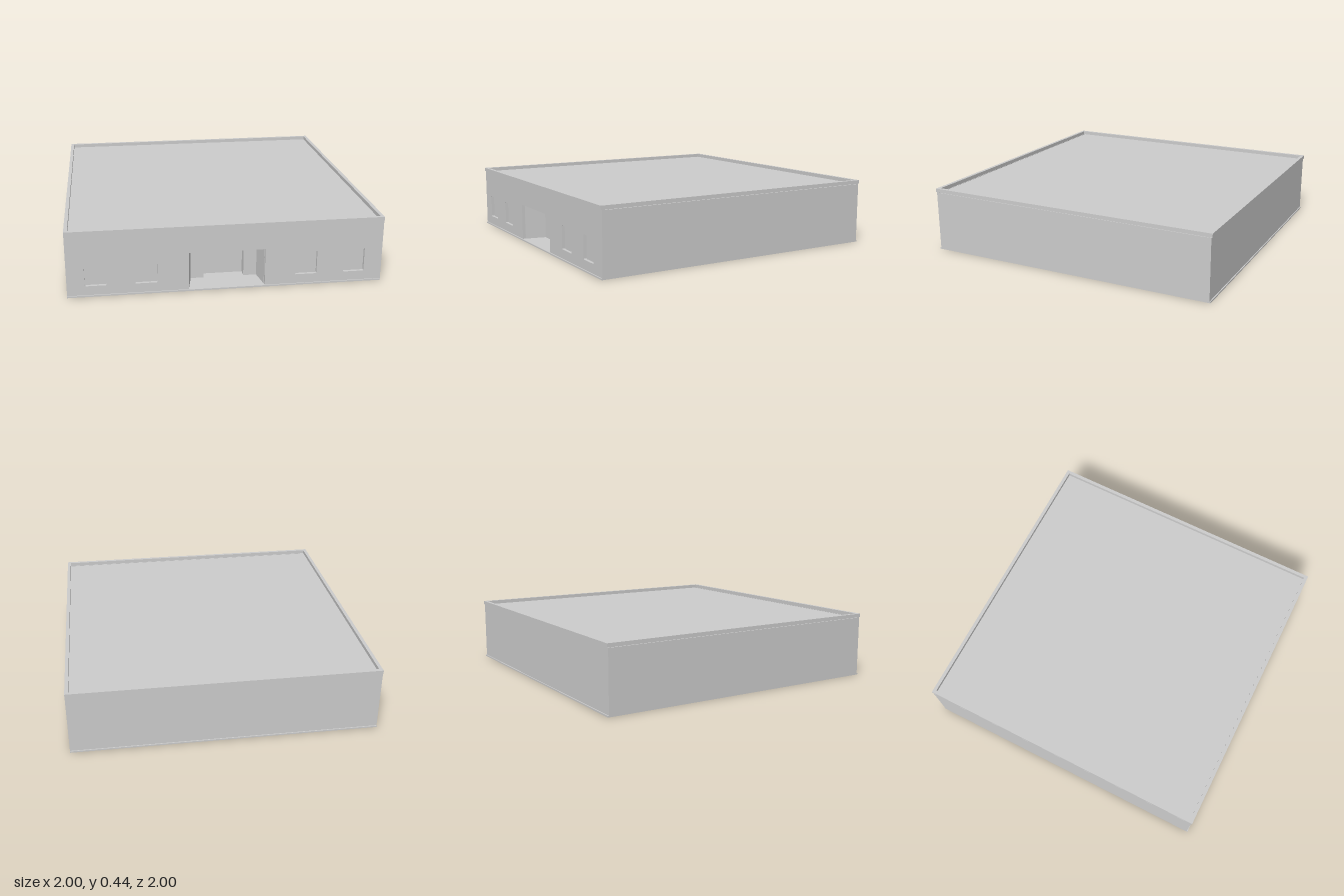
import * as THREE from 'three';

const material = new THREE.MeshStandardMaterial({ color: 0xcccccc, flatShading: true });

const BASE = 0.01, CEILING = 0.255, ROOF = 0.408, CORNICE = 0.41, TOP = 0.435;
const WALL_Z = 0.993, SKIN = 0.02;
const CORE_Z = WALL_Z - SKIN;

function add(group, name, geometry) {
  const mesh = new THREE.Mesh(geometry, material);
  mesh.name = name;
  group.add(mesh);
  return mesh;
}

// Box given by its lower and upper limits on each axis
function block(group, name, [x0, x1], [y0, y1], [z0, z1]) {
  const mesh = add(group, name, new THREE.BoxGeometry(x1 - x0, y1 - y0, z1 - z0));
  mesh.position.set((x0 + x1) / 2, (y0 + y1) / 2, (z0 + z1) / 2);
  return mesh;
}

function polygon(points, Type = THREE.Shape) {
  return new Type(points.map(([x, y]) => new THREE.Vector2(x, y)));
}

function rectangle(x0, x1, y0, y1, Type) {
  return polygon([[x0, y0], [x1, y0], [x1, y1], [x0, y1]], Type);
}

// Window opening with slightly softened corners
function windowHole(x0, x1, y0, y1) {
  const c = 0.004;
  return polygon([
    [x0 + c, y0], [x1 - c, y0], [x1, y0 + c], [x1, y1 - c],
    [x1 - c, y1], [x0 + c, y1], [x0, y1 - c], [x0, y0 + c],
  ], THREE.Path);
}

// Extrude a plan outline (x, -z) upward from y0 to y1
function extrudeUp(group, name, shape, y0, y1) {
  const geometry = new THREE.ExtrudeGeometry(shape, { depth: y1 - y0, bevelEnabled: false });
  geometry.rotateX(-Math.PI / 2);
  geometry.translate(0, y0, 0);
  return add(group, name, geometry);
}

export function createModel() {
  const building = new THREE.Group();
  building.name = 'building';

  // Thin floor slab, also the floor of the entrance
  block(building, 'baseSlab', [-1, 1], [0, BASE], [-1, 1]);

  // Lower storey: plan with a splayed entrance and a narrower door alcove
  const porchZ = WALL_Z - 0.16, doorZ = WALL_Z - 0.22;
  const plan = polygon([
    [-1, -CORE_Z], [-0.241, -CORE_Z], [-0.215, -porchZ], [-0.13, -porchZ],
    [-0.13, -doorZ], [0.13, -doorZ], [0.13, -porchZ], [0.215, -porchZ],
    [0.237, -CORE_Z], [1, -CORE_Z], [1, WALL_Z], [-1, WALL_Z],
  ]);
  extrudeUp(building, 'lowerWalls', plan, BASE, CEILING);
  block(building, 'upperWalls', [-1, 1], [CEILING, ROOF], [-WALL_Z, CORE_Z]);
  block(building, 'doorLintel', [-0.13, 0.13], [0.225, CEILING], [doorZ, porchZ]);

  // Front facade with window openings and the entrance cut out
  const facade = polygon([
    [-1, BASE], [-0.245, BASE], [-0.245, CEILING], [0.24, CEILING],
    [0.24, BASE], [1, BASE], [1, CORNICE], [-1, CORNICE],
  ]);
  for (const [x0, x1] of [[-0.89, -0.755], [-0.58, -0.44], [0.435, 0.575], [0.75, 0.885]]) {
    facade.holes.push(windowHole(x0, x1, 0.07, 0.225));
  }
  const front = add(building, 'frontFacade',
    new THREE.ExtrudeGeometry(facade, { depth: SKIN, bevelEnabled: false }));
  front.position.z = CORE_Z;

  // Parapet ring standing above the flat roof
  const ring = rectangle(-1, 1, -1, 1);
  ring.holes.push(rectangle(-0.977, 0.977, -0.977, 0.977, THREE.Path));
  extrudeUp(building, 'parapet', ring, CORNICE, TOP);

  return building;
}
